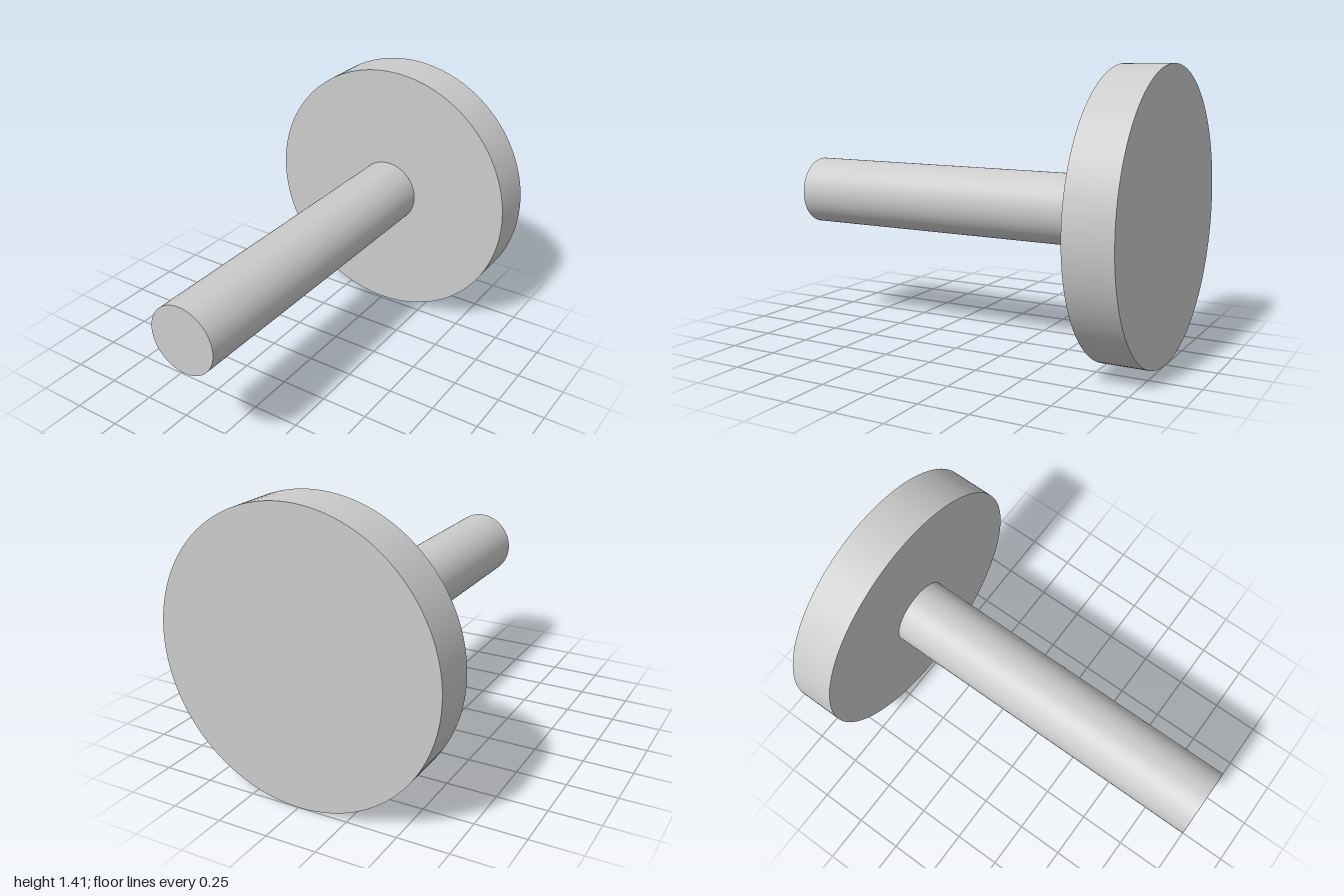
import * as THREE from 'three';

export function createModel() {
  const group = new THREE.Group();
  const material = new THREE.MeshStandardMaterial({ color: 0xcccccc });
  const headRadius = 0.706;
  const headFront = -0.765;

  // Round bar along z, centred on the shared axis
  function addRod(name, radius, zBack, zFront) {
    const geometry = new THREE.CylinderGeometry(radius, radius, zFront - zBack, 128);
    geometry.rotateX(Math.PI / 2);
    const mesh = new THREE.Mesh(geometry, material);
    mesh.name = name;
    mesh.position.set(0, headRadius, (zBack + zFront) / 2);
    group.add(mesh);
  }

  // Wide flat disc at the back, slim shaft reaching forward
  addRod('headDisc', headRadius, -1, headFront);
  addRod('shaft', 0.176, headFront, 1);

  return group;
}
